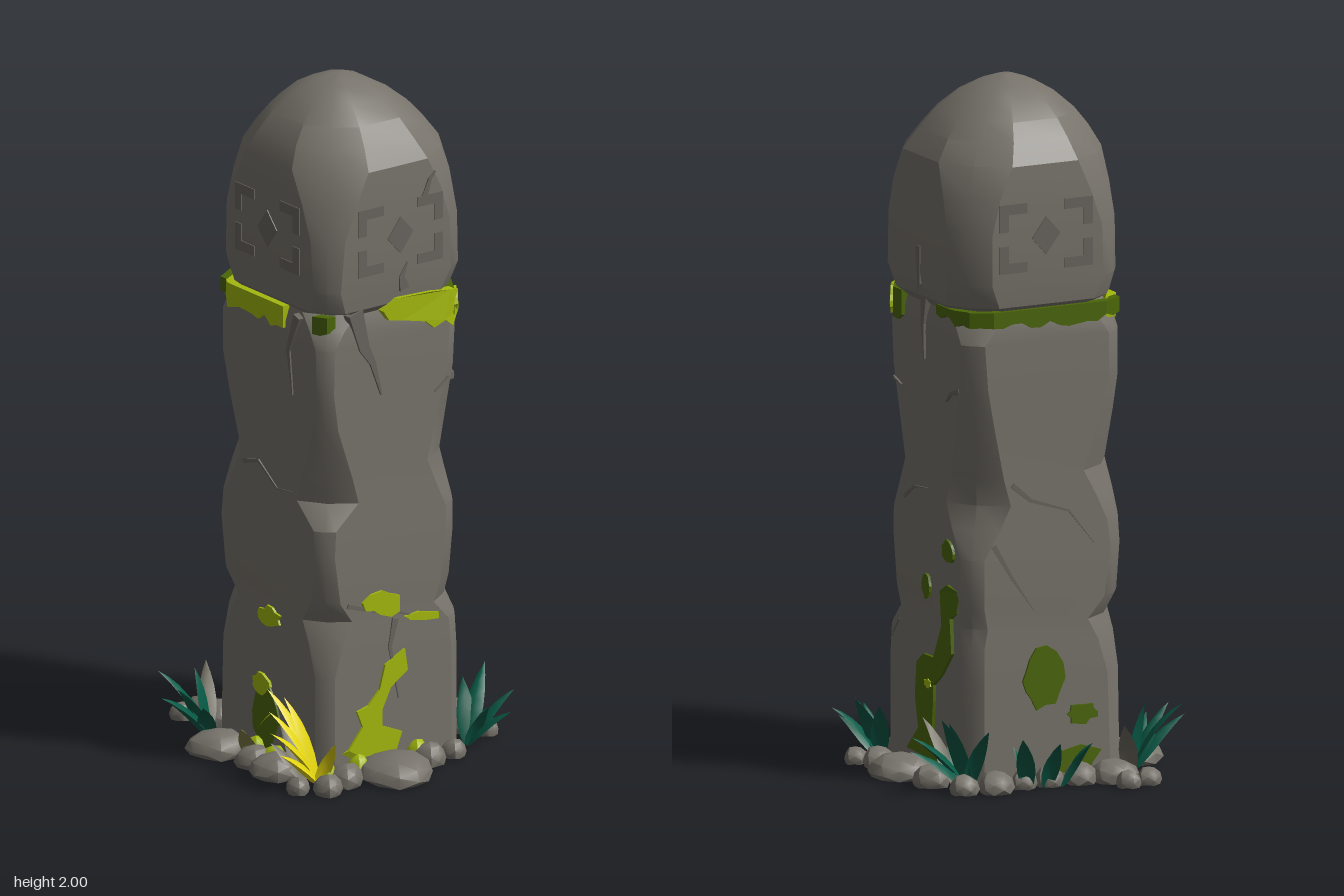
import * as THREE from 'three';
import { toCreasedNormals } from 'three/addons/utils/BufferGeometryUtils.js';

const mat = (name, color, opts = {}) => {
  const m = new THREE.MeshStandardMaterial({ color, ...opts });
  m.name = name;
  return m;
};
const D = { side: THREE.DoubleSide };
const stone = mat('stone', 0x77736b);
const carved = mat('carvedStone', 0x69655e);
const moss = mat('brightMoss', 0xa3b80e);
const darkMoss = mat('darkMoss', 0x4a6607);
const teal = mat('tealLeaf', 0x075a46, D);
const yellow = mat('yellowLeaf', 0xe3d40e, D);
const dry = mat('dryLeaf', 0x716d60, D);
const olive = mat('oliveLeaf', 0x85804a, D);

let seed = 7;
const rnd = () => (seed = (seed * 16807) % 2147483647) / 2147483647;

// Loft of square rings with individually cut corners: [y, halfX, halfZ, centreX, cut x4]
function loft(rings) {
  const pos = [], N = 12;
  const pts = rings.map(([y, hx, hz, cx, ...c]) => {
    const ring = [];
    [[1, 1], [-1, 1], [-1, -1], [1, -1]].forEach(([sx, sz], k) => {
      const cut = c[k] ?? c[0];
      const corner = [[hx, hz - cut], [hx - cut * 0.4, hz - cut * 0.4], [hx - cut, hz]];
      if (sx * sz < 0) corner.reverse();
      corner.forEach(([x, z]) => ring.push([cx + sx * x, y, sz * z]));
    });
    return ring;
  });
  const tri = (...v) => v.forEach(p => pos.push(...p));
  for (let i = 0; i < pts.length - 1; i++) for (let j = 0; j < N; j++) {
    const k = (j + 1) % N, a = pts[i][j], b = pts[i][k], c = pts[i + 1][k], d = pts[i + 1][j];
    tri(a, d, c);
    tri(a, c, b);
  }
  const n = rings.length - 1;
  for (let j = 0; j < N; j++) {
    const k = (j + 1) % N;
    tri([rings[0][3], rings[0][0], 0], pts[0][j], pts[0][k]);
    tri([rings[n][3], rings[n][0], 0], pts[n][k], pts[n][j]);
  }
  const g = new THREE.BufferGeometry();
  g.setAttribute('position', new THREE.Float32BufferAttribute(pos, 3));
  return toCreasedNormals(g, 0.45);
}

// Wall frames: turn about y, distance of body wall and head wall
const WALLS = {
  front: [0, 0.267, 0.27], right: [Math.PI / 2, 0.26, 0.28],
  back: [Math.PI, 0.265, 0.27], left: [-Math.PI / 2, 0.252, 0.25],
};

export function createModel() {
  const model = new THREE.Group();
  const add = (name, geo, material, parent = model) => {
    const m = new THREE.Mesh(geo, material);
    m.name = name;
    parent.add(m);
    return m;
  };

  // Plate lying on a wall, its ends folded back around the cut corners
  function plate(name, wall, pts, material, proud = 0.006, fold = 0.19) {
    const [turn, body, head] = WALLS[wall];
    const shape = new THREE.Shape(pts.map(p => new THREE.Vector2(...p)));
    const g = new THREE.ExtrudeGeometry(shape, { depth: 0.03, bevelEnabled: false });
    const p = g.attributes.position;
    for (let i = 0; i < p.count; i++) {
      const over = Math.max(0, Math.abs(p.getX(i)) - fold);
      p.setZ(i, p.getZ(i) - 0.03 + proud - over * 0.6);
    }
    g.computeVertexNormals();
    g.translate(0, 0, pts[0][1] > 1.41 ? head : body);
    add(name, g.rotateY(turn), material);
  }
  const blob = (wall, u, v, ru, rv, material, proud = 0.008) => {
    const pts = [];
    for (let i = 0; i < 14; i++) {
      const a = i / 14 * Math.PI * 2, r = 0.75 + 0.4 * rnd();
      pts.push([u + Math.cos(a) * ru * r, v + Math.sin(a) * rv * r]);
    }
    plate('mossSpot', wall, pts, material, proud);
  };
  // Tapering crack along a few points
  const crack = (wall, path, w = 0.012) => {
    const n = path.length - 1;
    const side = s => path.map(([u, v], i) => {
      const a = path[Math.max(0, i - 1)], b = path[Math.min(n, i + 1)];
      const l = Math.hypot(b[0] - a[0], b[1] - a[1]), h = s * w * (1.1 - i / n) / 2;
      return [u - (b[1] - a[1]) / l * h, v + (b[0] - a[0]) / l * h];
    });
    plate('crack', wall, [...side(1), ...side(-1).reverse()], carved, 0.003);
  };

  // Pillar body, each corner worn differently
  add('pillarBody', loft([
    [0, 0.257, 0.267, 0.003, 0.06, 0.04, 0.06, 0.05],
    [0.3, 0.257, 0.267, 0.003, 0.06, 0.04, 0.07, 0.05],
    [0.4, 0.257, 0.267, 0.003, 0.07, 0.07, 0.1, 0.05],
    [0.46, 0.255, 0.265, 0.003, 0.12, 0.1, 0.13, 0.06],
    [0.52, 0.257, 0.267, 0.003, 0.1, 0.06, 0.08, 0.05],
    [0.66, 0.257, 0.267, 0.003, 0.08, 0.04, 0.06, 0.05],
    [0.74, 0.257, 0.266, 0.003, 0.08, 0.045, 0.07, 0.1],
    [0.81, 0.256, 0.265, 0.003, 0.11, 0.125, 0.1, 0.135],
    [0.89, 0.253, 0.264, 0.003, 0.14, 0.1, 0.14, 0.11],
    [1.04, 0.253, 0.264, 0.003, 0.1, 0.05, 0.09, 0.08],
    [1.15, 0.253, 0.264, 0.003, 0.07, 0.035, 0.06, 0.06],
    [1.28, 0.253, 0.264, 0.003, 0.06, 0.04, 0.06, 0.05],
    [1.33, 0.25, 0.262, 0.003, 0.09, 0.07, 0.09, 0.09],
    [1.38, 0.235, 0.248, 0.005, 0.12],
  ]), stone);

  // Domed head
  add('pillarHead', loft([
    [1.36, 0.235, 0.245, 0.012, 0.13],
    [1.385, 0.257, 0.264, 0.013, 0.11, 0.07, 0.1, 0.11],
    [1.45, 0.265, 0.27, 0.015, 0.085, 0.055, 0.08, 0.095],
    [1.6, 0.265, 0.27, 0.015, 0.09, 0.07, 0.085, 0.095],
    [1.7, 0.265, 0.27, 0.015, 0.12, 0.11, 0.12, 0.12],
    [1.79, 0.26, 0.264, 0.013, 0.155],
    [1.85, 0.224, 0.226, 0.008, 0.138],
    [1.9, 0.184, 0.186, 0.005, 0.113],
    [1.95, 0.127, 0.129, 0.002, 0.077],
    [1.98, 0.076, 0.077, 0, 0.047],
    [2.0, 0.02, 0.02, 0, 0.012],
  ]), stone);

  // Abstract carving: four corner brackets around a worn diamond, on three head walls
  for (const [wall, o] of [['front', 0.015], ['back', -0.015], ['left', 0]]) {
    const carve = pts => plate('headCarving', wall, pts.map(([u, v]) => [o + u, v]), carved, 0.003);
    for (const s of [-1, 1]) for (const t of [-1, 1]) {
      carve([[0.06, 0.1], [0.15, 0.1], [0.15, 0.02], [0.12, 0.02], [0.12, 0.07], [0.06, 0.07]]
        .map(([u, v]) => [s * u, 1.585 + t * v]));
    }
    carve([[0, 1.53], [0.045, 1.59], [0, 1.64], [-0.045, 1.58]]);
  }

  // Cracks
  crack('front', [[-0.14, 1.38], [-0.11, 1.27], [-0.08, 1.22], [-0.05, 1.12]], 0.045);
  crack('front', [[0.22, 1.12], [0.19, 1.12], [0.14, 1.09]], 0.018);
  crack('front', [[-0.17, 0.51], [-0.1, 0.485], [0, 0.46], [0.08, 0.43], [0.15, 0.42]], 0.012);
  crack('front', [[0, 0.44], [-0.02, 0.36], [0.01, 0.2]], 0.02);
  crack('front', [[0.1, 1.68], [0.12, 1.73], [0.14, 1.75]], 0.018);
  crack('front', [[0.03, 1.42], [0.02, 1.46], [0.04, 1.5]], 0.03);
  crack('right', [[0, 1.53], [0.005, 1.42], [0, 1.4]], 0.022);
  crack('right', [[0, 1.4], [-0.01, 1.3], [0, 1.2]], 0.03);
  crack('right', [[-0.12, 0.78], [-0.06, 0.82], [0.02, 0.83]], 0.01);
  crack('right', [[-0.22, 1.1], [-0.18, 1.11], [-0.14, 1.1]], 0.016);
  crack('right', [[0.2, 1.14], [0.16, 1.13], [0.13, 1.1]], 0.016);
  crack('right', [[-0.22, 0.34], [-0.19, 0.37], [-0.15, 0.42]], 0.012);
  crack('back', [[-0.12, 0.87], [-0.06, 0.82], [0.06, 0.78], [0.14, 0.68]], 0.014);
  crack('back', [[-0.18, 0.7], [-0.12, 0.6], [-0.05, 0.5]], 0.014);
  crack('left', [[-0.11, 0.86], [-0.04, 0.88], [0.05, 0.82], [0.12, 0.83]], 0.012);
  crack('left', [[0.14, 1.36], [0.1, 1.25], [0.12, 1.12]], 0.025);

  // Moss tucked under the head, in short ragged strips
  const fringe = (wall, a, b, low, material) => {
    const n = Math.ceil((b - a) / 0.03), du = (b - a) / n;
    let v = low + 0.02;
    for (let i = 0; i < n; i++) {
      const u = a + du * i, next = low + 0.03 * rnd();
      plate('neckMoss', wall, [[u, 1.375], [u, v], [u + du, next], [u + du, 1.375]], material, 0.005, 0.18);
      v = next;
    }
  };
  plate('neckMoss', 'front', [[-0.05, 1.37], [0, 1.4], [0.12, 1.395], [0.19, 1.385], [0.24, 1.37], [0.245, 1.31],
    [0.21, 1.27], [0.17, 1.3], [0.13, 1.285], [0.1, 1.31], [0.06, 1.32], [0.02, 1.33], [-0.03, 1.34]], moss, 0.012, 0.18);
  fringe('right', -0.255, -0.13, 1.28, darkMoss);
  blob('right', -0.225, 1.33, 0.03, 0.04, moss, 0.01);
  fringe('right', 0.08, 0.24, 1.325, darkMoss);
  fringe('back', -0.24, 0.24, 1.31, darkMoss);
  fringe('left', -0.24, 0.08, 1.3, moss);
  fringe('left', 0.2, 0.24, 1.3, darkMoss);

  // Moss climbing from the ground
  plate('frontMoss', 'front', [[-0.22, 0.06], [-0.17, 0.08], [-0.12, 0.14], [-0.14, 0.19], [-0.1, 0.2], [-0.06, 0.24],
    [-0.04, 0.31], [0.03, 0.345], [0.04, 0.28], [-0.02, 0.24], [-0.05, 0.18], [-0.05, 0.13], [0.02, 0.1],
    [0, 0.05], [-0.12, 0.05]], moss, 0.007);
  plate('frontMossCap', 'front', [[-0.12, 0.51], [-0.09, 0.53], [-0.05, 0.535], [-0.02, 0.52], [0.01, 0.51], [0.01, 0.46],
    [-0.02, 0.45], [-0.06, 0.465], [-0.08, 0.48], [-0.11, 0.485]], moss, 0.008);
  plate('frontMossSeam', 'front', [[0.03, 0.44], [0.08, 0.445], [0.15, 0.43], [0.15, 0.41], [0.1, 0.415], [0.05, 0.425]], moss);
  plate('rightMoss', 'right', [[-0.09, 0.06], [-0.02, 0.13], [-0.04, 0.22], [-0.03, 0.32], [0.01, 0.35], [0.07, 0.35],
    [0.12, 0.45], [0.11, 0.55], [0.15, 0.575], [0.21, 0.56], [0.2, 0.5], [0.17, 0.48], [0.18, 0.38], [0.12, 0.31],
    [0.07, 0.27], [0.07, 0.22], [0.06, 0.13], [0.1, 0.05]], darkMoss, 0.01);
  blob('right', 0.02, 0.55, 0.025, 0.038, darkMoss);
  blob('right', 0.15, 0.67, 0.035, 0.032, darkMoss);
  blob('right', 0.04, 0.27, 0.02, 0.015, moss, 0.013);
  blob('back', -0.03, 0.3, 0.07, 0.09, darkMoss);
  blob('back', 0.1, 0.19, 0.05, 0.03, darkMoss);
  blob('back', 0.08, 0.06, 0.08, 0.04, darkMoss);
  blob('left', 0.02, 0.43, 0.05, 0.03, moss);
  blob('left', 0, 0.13, 0.06, 0.11, darkMoss);
  blob('left', -0.02, 0.22, 0.04, 0.03, moss, 0.011);

  // Flattened boulder with a slightly uneven surface
  function boulder(name, x, z, r, h, material) {
    const g = new THREE.IcosahedronGeometry(1, 1), p = g.attributes.position;
    const k = rnd() * 6;
    for (let i = 0; i < p.count; i++) {
      const a = p.getX(i), b = p.getY(i), c = p.getZ(i);
      const f = 1 + 0.09 * Math.sin(3 * a + k) * Math.cos(4 * c - k);
      p.setXYZ(i, a * r * f, Math.max(0, b * h * f + 0.015), c * r * f);
    }
    add(name, toCreasedNormals(g, 0.6), material).position.set(x, 0, z);
  }
  // Rocks around the foot: [x, z, radius]
  const rocks = [[-0.06, 0.35, 0.112], [0.09, 0.31, 0.048], [0.18, 0.305, 0.036], [-0.21, 0.315, 0.05],
    [-0.3, 0.35, 0.042], [-0.365, 0.295, 0.034], [-0.33, -0.125, 0.09], [-0.32, 0.13, 0.075], [-0.32, 0.03, 0.055],
    [-0.17, -0.335, 0.072], [-0.235, -0.42, 0.036], [-0.165, -0.43, 0.036], [-0.07, -0.315, 0.048],
    [0.025, -0.305, 0.042], [0.105, -0.305, 0.038], [0.2, -0.315, 0.052], [0.29, -0.295, 0.042],
    [0.32, -0.15, 0.055], [0.335, 0, 0.096], [0.335, 0.14, 0.046], [0.37, 0.21, 0.034]];
  for (const [x, z, r] of rocks) boulder('rock', x, z, r, Math.min(r, 0.04 + r * 0.15), stone);
  // Moss cushions on the ground beside the walls
  for (const [x, z, r] of [[-0.27, -0.03, 0.035], [-0.28, 0.07, 0.04], [-0.14, 0.28, 0.035], [-0.25, 0.28, 0.03], [0.07, 0.275, 0.035]]) {
    boulder('mossCushion', x, z, r, 0.05, moss);
  }

  // Curved pointed leaf from base to tip, folded along its rib
  function leaf(parent, [bx, bz], [tx, tz, h], w, material) {
    const g = new THREE.PlaneGeometry(1, 1, 2, 6), p = g.attributes.position;
    const dx = tx - bx, dz = tz - bz, l = Math.hypot(dx, dz);
    for (let i = 0; i < p.count; i++) {
      const s = p.getX(i) * 2, t = p.getY(i) + 0.5;
      const out = 0.6 * t + 0.4 * t * t, half = w * Math.sin(Math.PI * (0.12 + 0.88 * t));
      const y = h * (1.5 * t - 0.5 * t * t) - Math.abs(s) * half * 0.9;
      p.setXYZ(i, bx + dx * out - dz / l * half * s, Math.max(0, y), bz + dz * out + dx / l * half * s);
    }
    g.computeVertexNormals();
    add('leaf', g, material, parent);
  }
  // Plants: name, material, base, tips [x, z, height]
  const plants = [
    ['yellowPlant', yellow, [-0.28, 0.28], [[-0.36, 0.14, 0.27], [-0.43, 0.25, 0.18], [-0.39, 0.19, 0.22],
      [-0.29, 0.37, 0.15], [-0.42, 0.28, 0.12], [-0.33, 0.18, 0.25]]],
    ['frontLeftPlant', teal, [0.27, 0.25], [[0.4, 0.16, 0.2], [0.405, 0.29, 0.15], [0.27, 0.35, 0.14],
      [0.35, 0.35, 0.11], [0.32, 0.16, 0.17]]],
    ['backLeftPlant', teal, [0.26, -0.26], [[0.27, -0.41, 0.2], [0.435, -0.25, 0.17], [0.42, -0.21, 0.12],
      [0.38, -0.33, 0.23], [0.29, -0.19, 0.12], [0.34, -0.3, 0.21]]],
    ['backRightPlant', teal, [-0.27, -0.25], [[-0.39, -0.33, 0.2], [-0.44, -0.25, 0.15], [-0.38, -0.13, 0.14],
      [-0.41, -0.21, 0.18], [-0.29, -0.29, 0.2]]],
    ['backLeafOne', teal, [0, -0.34], [[-0.05, -0.43, 0.14]]],
    ['backLeafTwo', teal, [0.045, -0.33], [[0.055, -0.435, 0.15]]],
    ['backLeafThree', teal, [0.1, -0.32], [[0.17, -0.425, 0.17], [0.13, -0.29, 0.12]]],
    ['dryLeaves', dry, [-0.28, 0.21], [[-0.285, 0.1, 0.15], [-0.34, 0.13, 0.1]]],
    ['dryBackLeaf', dry, [-0.25, -0.28], [[-0.17, -0.395, 0.17]]],
    ['drySideLeaf', dry, [0.27, -0.21], [[0.32, -0.1, 0.19]]],
    ['mossyLeaf', moss, [-0.27, -0.05], [[-0.275, 0.06, 0.16]]],
    ['oliveLeaf', olive, [-0.28, -0.03], [[-0.37, 0.03, 0.12]]],
  ];
  for (const [name, material, base, tips] of plants) {
    const g = new THREE.Group();
    g.name = name;
    model.add(g);
    tips.forEach(t => leaf(g, base, t, 0.027, material));
  }
  return model;
}
